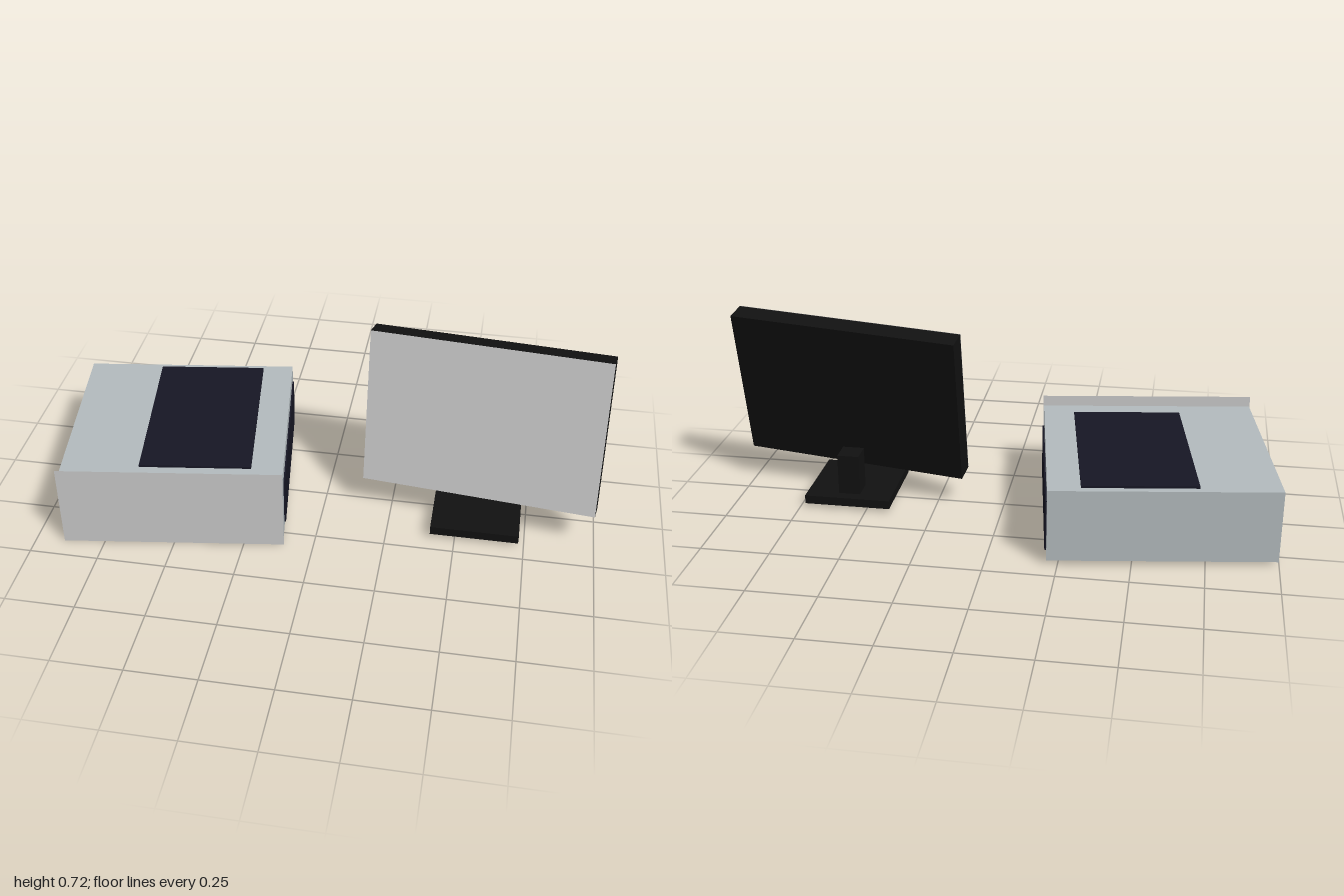
import * as THREE from 'three';

const deg = THREE.MathUtils.degToRad;
const paint = (color, extra = {}) => new THREE.MeshStandardMaterial({ color, ...extra });

export function createModel() {
  const model = new THREE.Group();
  const grey = paint(0xcccccc, { side: THREE.DoubleSide });
  const casing = paint(0xb4bcbf);
  const vent = paint(0x161624);
  const black = paint(0x111111);

  const add = (parent, name, geometry, material, x, y, z) => {
    const mesh = new THREE.Mesh(geometry, material);
    mesh.name = name;
    mesh.position.set(x, y, z);
    parent.add(mesh);
    return mesh;
  };
  const box = (w, h, d) => new THREE.BoxGeometry(w, h, d);

  // Computer case, turned a little towards +x
  const W = 0.794, D = 0.744;
  const computer = new THREE.Group();
  computer.name = 'computer';
  computer.position.set(-0.553, 0, 0);
  computer.rotation.y = deg(8);
  model.add(computer);
  add(computer, 'caseBody', box(W, 0.265, D), casing, 0, 0.1475, 0);
  // Thin front panel, taller than the case
  add(computer, 'frontPanel', new THREE.PlaneGeometry(W + 0.004, 0.32), grey, 0, 0.16, D / 2 + 0.002);
  // Raised vents on the top and both sides
  add(computer, 'topVent', box(0.4, 0.012, 0.638), vent, 0.083, 0.282, -0.028);
  for (const side of [-1, 1]) {
    add(computer, side > 0 ? 'leftVent' : 'rightVent', box(0.012, 0.188, 0.638), vent,
      side * W / 2, 0.134, -0.025);
  }

  // Monitor head, turned towards -x and leaning back
  const monitor = new THREE.Group();
  monitor.name = 'monitor';
  model.add(monitor);
  const head = new THREE.Group();
  head.name = 'monitorHead';
  head.position.set(0.57, 0.415, 0);
  head.rotation.set(deg(-12), deg(-8), 0);
  monitor.add(head);
  add(head, 'monitorCase', box(0.853, 0.582, 0.075), black, 0, 0, 0);
  add(head, 'screen', new THREE.PlaneGeometry(0.853, 0.582), grey, 0, 0, 0.0395);

  // Stand, square to the axes
  add(monitor, 'standPole', box(0.08, 0.17, 0.082), black, 0.57, 0.115, -0.053);
  add(monitor, 'standBase', box(0.32, 0.032, 0.32), black, 0.57, 0.031, 0.025);

  return model;
}
